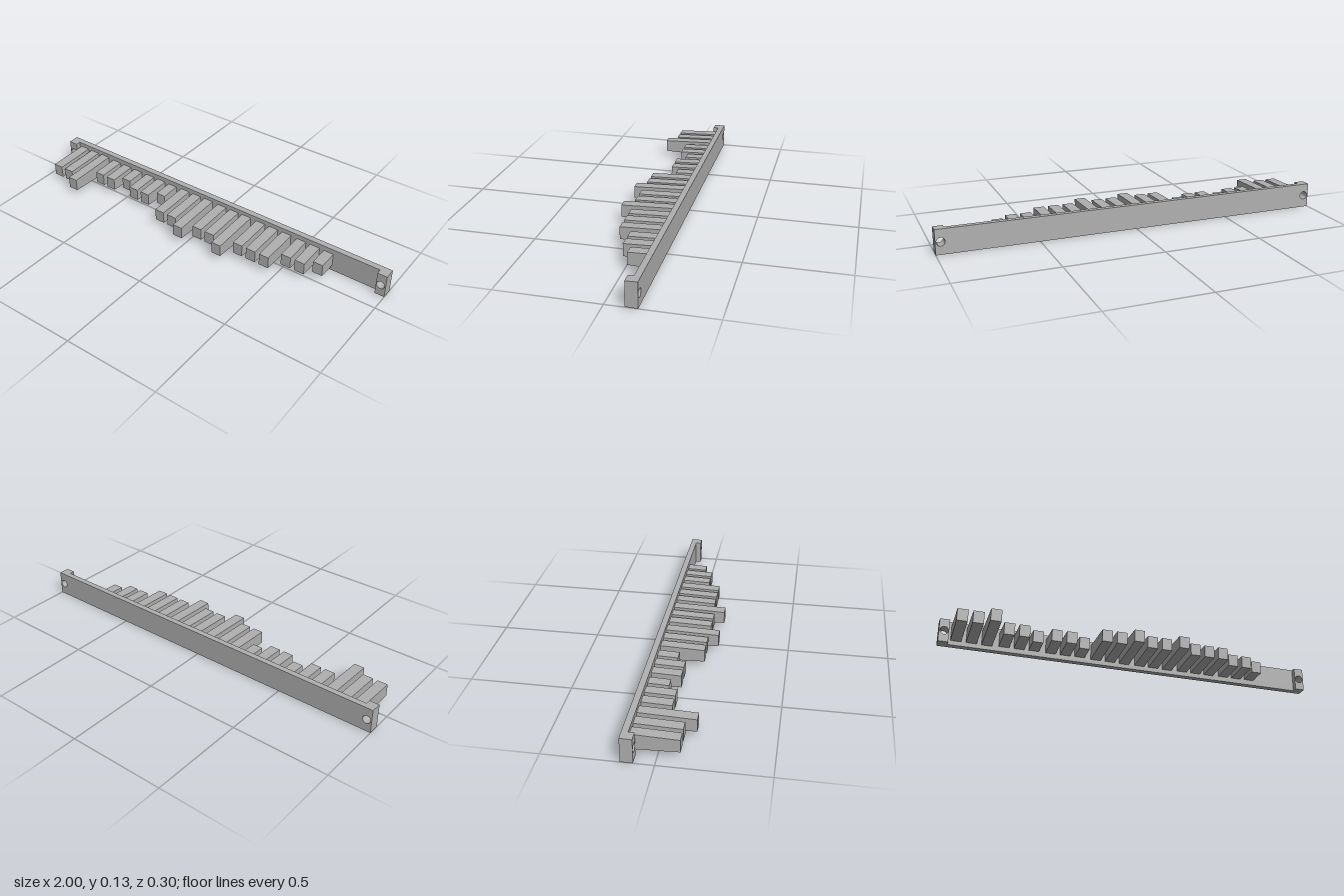
import * as THREE from 'three';

const MID = 0.063, BACK = -0.149, PLATE_FRONT = -0.119, BLOCK_FRONT = -0.092;
const DRAFT = Math.tan(THREE.MathUtils.degToRad(2.2)); // moulded taper towards the front

// Rectangle with round bolt holes, extruded along z from z0 to z1, outer edges drafted
function drilledBar(x0, x1, z0, z1, holes) {
  const s = new THREE.Shape();
  s.moveTo(x0, 0).lineTo(x1, 0).lineTo(x1, 2 * MID).lineTo(x0, 2 * MID).closePath();
  for (const hx of holes) {
    const h = new THREE.Path();
    h.absarc(hx, MID, 0.021, 0, Math.PI * 2, true);
    s.holes.push(h);
  }
  const g = new THREE.ExtrudeGeometry(s, { depth: z1 - z0, bevelEnabled: false, curveSegments: 10 });
  g.translate(0, 0, z0);
  const p = g.attributes.position;
  for (let i = 0; i < p.count; i++) {
    const d = p.getY(i) - MID;
    if (Math.abs(d) > 0.05) p.setY(i, p.getY(i) - Math.sign(d) * DRAFT * (p.getZ(i) - BACK));
  }
  g.computeVertexNormals();
  return g;
}

// Square-ended tooth that grows taller towards the plate
function toothGeometry(tip) {
  const length = tip - PLATE_FRONT;
  let g = new THREE.BoxGeometry(0.053, 0.063, length);
  const p = g.attributes.position;
  for (let i = 0; i < p.count; i++) {
    if (p.getZ(i) < 0) p.setY(i, p.getY(i) + Math.sign(p.getY(i)) * DRAFT * length * 0.92);
  }
  g = g.toNonIndexed();
  g.computeVertexNormals();
  g.translate(0, 0.064, PLATE_FRONT + length / 2);
  return g;
}

export function createModel() {
  const group = new THREE.Group();
  const grey = new THREE.MeshStandardMaterial({ color: 0xb0b0b0 });
  grey.name = 'grey';
  const add = (name, geometry, x = 0) => {
    const m = new THREE.Mesh(geometry, grey);
    m.name = name;
    m.position.x = x;
    group.add(m);
  };

  // Long backing plate and its raised mounting ends
  const boltX = 0.974;
  add('backPlate', drilledBar(-1, 1, BACK, PLATE_FRONT, [-boltX, boltX]));
  add('rightEndBlock', drilledBar(-1, -0.95, PLATE_FRONT, BLOCK_FRONT, [-boltX]));
  add('leftEndBlock', drilledBar(0.95, 1, PLATE_FRONT, BLOCK_FRONT, [boltX]));

  // Seven groups of three teeth, listed by the z of their tips
  const tips = [
    [0.1, 0.1, 0.149], [0.024, 0.024, -0.018], [0.024, 0.024, -0.018],
    [0.1, 0.1, 0.149], [0.1, 0.1, 0.149], [0.087, 0.087, 0.087], [0.024, 0.024, -0.018],
  ];
  tips.forEach((trio, g) => trio.forEach((tip, k) => {
    add(`tooth${g * 3 + k + 1}`, toothGeometry(tip), -0.911 + 0.2392 * g + 0.0765 * k);
  }));
  return group;
}
